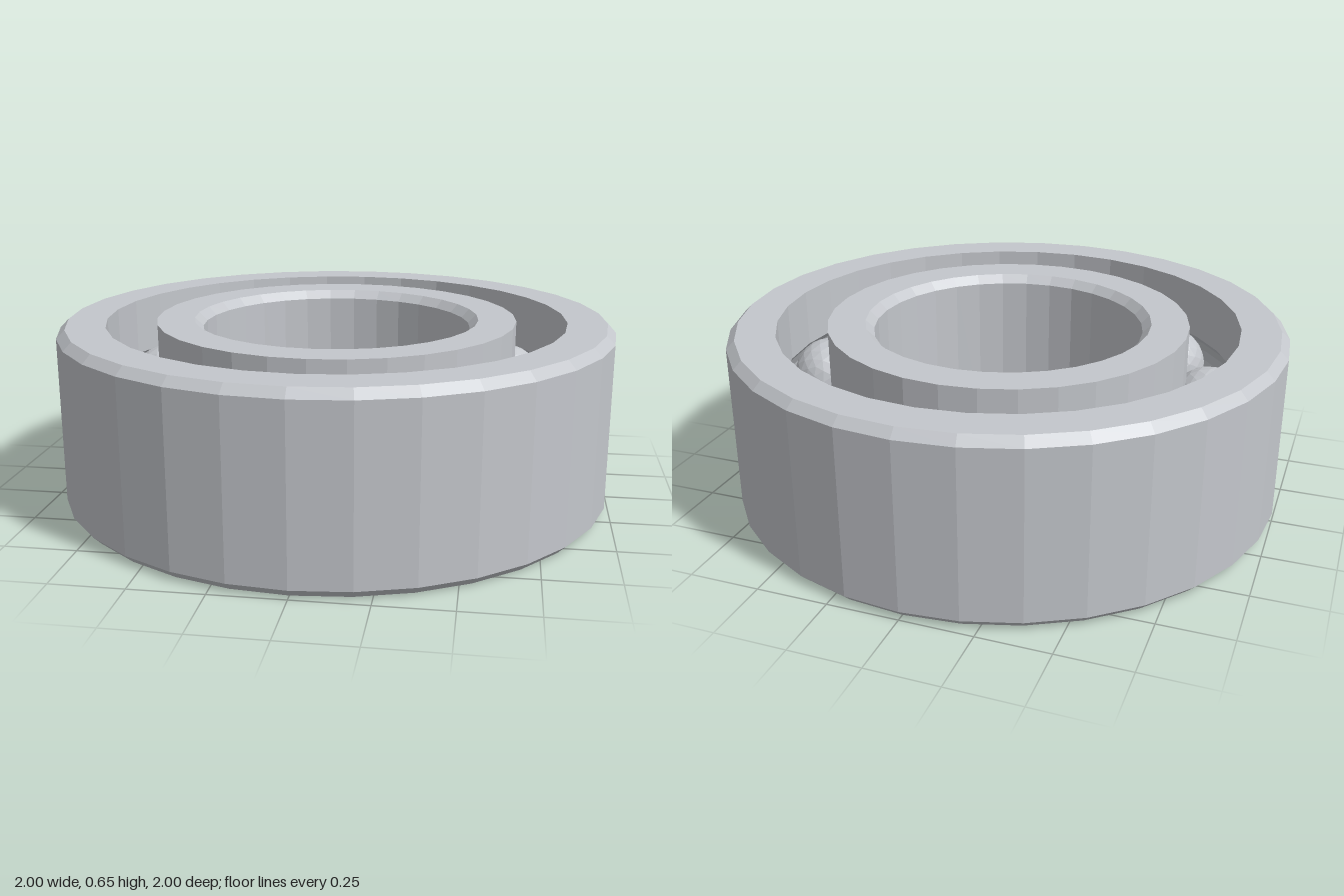
import * as THREE from 'three';

const HEIGHT = 0.65, CHAMFER = 0.03, SEGMENTS = 32;
const PITCH = 0.74, BALL_RADIUS = 0.142, BALL_COUNT = 11;
const GROOVE_RADIUS = 0.146;

// Arc of the ball groove as [radius, height] points, from the bottom edge to the top edge
function groove(faceRadius, side, steps = 6) {
  const limit = Math.acos(Math.abs(faceRadius - PITCH) / GROOVE_RADIUS);
  return Array.from({ length: steps + 1 }, (_, i) => {
    const a = -limit + (2 * limit * i) / steps;
    return [PITCH + side * GROOVE_RADIUS * Math.cos(a), HEIGHT / 2 + GROOVE_RADIUS * Math.sin(a)];
  });
}

// Closed profile, listed anticlockwise, turned around the vertical axis
function ring(name, profile, material) {
  const points = [...profile, profile[0]].map(([r, y]) => new THREE.Vector2(r, y));
  const mesh = new THREE.Mesh(new THREE.LatheGeometry(points, SEGMENTS), material);
  mesh.name = name;
  return mesh;
}

export function createModel() {
  const steel = new THREE.MeshStandardMaterial({ color: 0xc4c7cc });
  steel.name = 'steel';
  steel.flatShading = true;

  const model = new THREE.Group();
  model.name = 'ballBearing';

  // Outer ring: chamfered outside, grooved inside
  const outer = 1, outerBore = 0.83;
  model.add(ring('outerRing', [
    [outer - CHAMFER, 0], [outer, CHAMFER],
    [outer, HEIGHT - CHAMFER], [outer - CHAMFER, HEIGHT],
    [outerBore, HEIGHT], ...groove(outerBore, 1).reverse(), [outerBore, 0],
  ], steel));

  // Inner ring: grooved outside, chamfered bore
  const shoulder = 0.65, bore = 0.485;
  model.add(ring('innerRing', [
    [shoulder, 0], ...groove(shoulder, -1), [shoulder, HEIGHT],
    [bore + CHAMFER, HEIGHT], [bore, HEIGHT - CHAMFER],
    [bore, CHAMFER], [bore + CHAMFER, 0],
  ], steel));

  // Faceted balls spaced evenly around the race
  const balls = new THREE.Group();
  balls.name = 'balls';
  const ballGeometry = new THREE.IcosahedronGeometry(BALL_RADIUS, 3);
  for (let i = 0; i < BALL_COUNT; i++) {
    const angle = (i / BALL_COUNT) * Math.PI * 2;
    const ball = new THREE.Mesh(ballGeometry, steel);
    ball.name = `ball${i + 1}`;
    ball.position.set(PITCH * Math.cos(angle), HEIGHT / 2, PITCH * Math.sin(angle));
    ball.rotation.y = -angle;
    balls.add(ball);
  }
  model.add(balls);

  return model;
}
